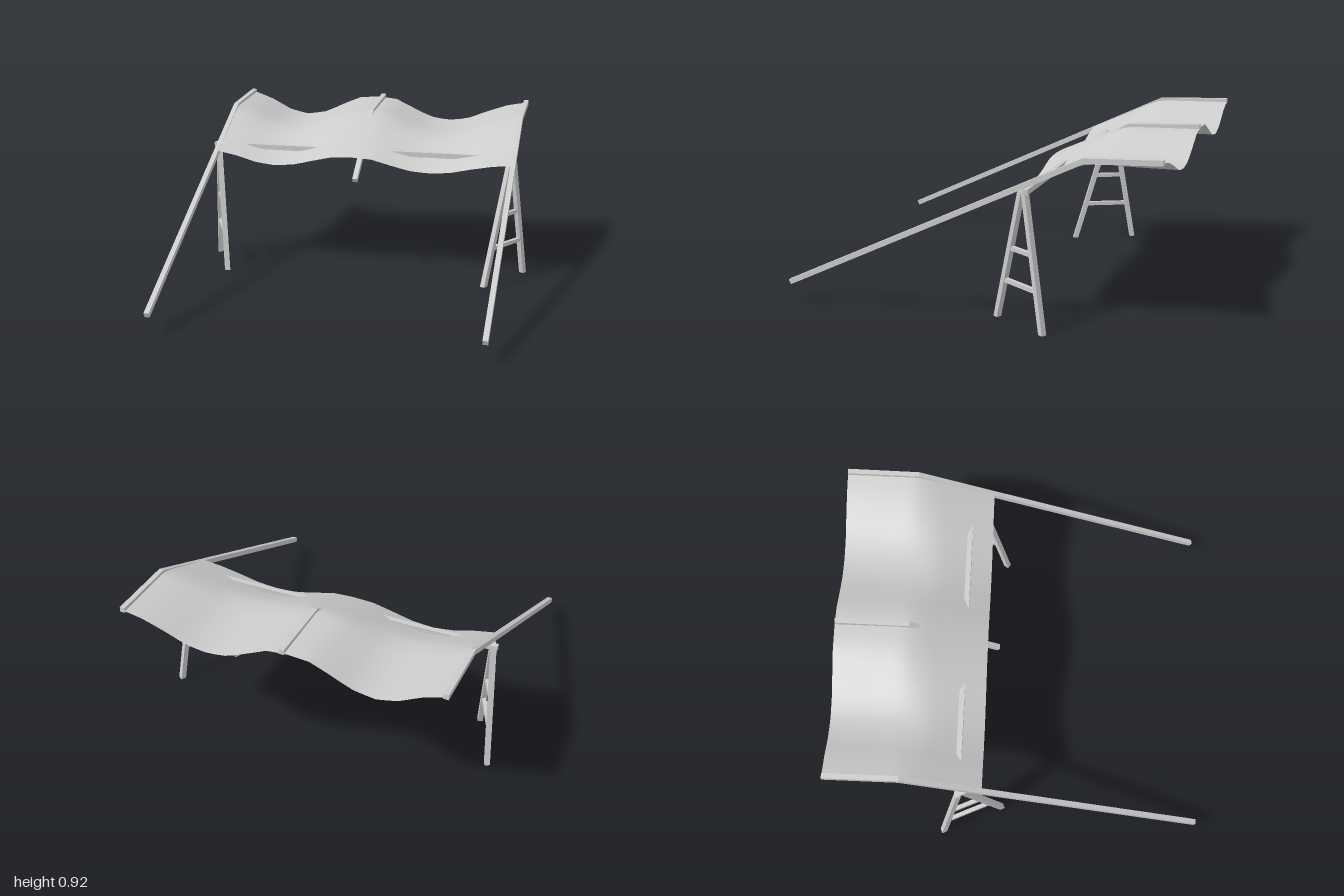
import * as THREE from 'three';

const grey = new THREE.MeshStandardMaterial({ color: 0xcccccc });
const clothGrey = new THREE.MeshStandardMaterial({ color: 0xcccccc, side: THREE.DoubleSide });

function add(parent, geometry, name, material = grey) {
  const mesh = new THREE.Mesh(geometry, material);
  mesh.name = name;
  parent.add(mesh);
  return mesh;
}

// Linear interpolation through [position, value] pairs
function lookup(table, p) {
  let i = 1;
  while (i < table.length - 1 && p > table[i][0]) i++;
  const [p0, v0] = table[i - 1], [p1, v1] = table[i];
  return THREE.MathUtils.lerp(v0, v1, (p - p0) / (p1 - p0));
}

// Square pole following a mitred path of [z, y] points
function poleGeometry(path, x, width) {
  const pts = path.map(([z, y]) => new THREE.Vector2(z, y));
  const offsets = pts.map((p, i) => {
    const normal = (a, b) => {
      const d = b.clone().sub(a).normalize();
      return new THREE.Vector2(-d.y, d.x);
    };
    const before = i > 0 ? normal(pts[i - 1], p) : normal(p, pts[i + 1]);
    const after = i < pts.length - 1 ? normal(p, pts[i + 1]) : before;
    const n = before.clone().add(after).normalize();
    return n.multiplyScalar(width / 2 / n.dot(before));
  });
  const upper = pts.map((p, i) => p.clone().add(offsets[i]));
  const lower = pts.map((p, i) => p.clone().sub(offsets[i]));
  const shape = new THREE.Shape([...upper, ...lower.reverse()]);
  const g = new THREE.ExtrudeGeometry(shape, { depth: width, bevelEnabled: false });
  g.translate(0, 0, -width / 2).rotateY(-Math.PI / 2).translate(x, 0, 0);
  return g;
}

// Leg with level ends: an upright box sheared from foot to top
function legGeometry(foot, top, width, yaw) {
  const h = top.y - foot.y;
  const g = new THREE.BoxGeometry(width, h, width).rotateY(yaw);
  const p = g.attributes.position;
  for (let i = 0; i < p.count; i++) {
    const t = p.getY(i) / h + 0.5;
    const c = foot.clone().lerp(top, t);
    p.setXYZ(i, p.getX(i) + c.x, c.y, p.getZ(i) + c.z);
  }
  g.computeVertexNormals();
  return g;
}

// A-shaped trestle with two rungs
function makeTrestle(name, backFoot, frontFoot, apex) {
  const trestle = new THREE.Group();
  trestle.name = name;
  const yaw = Math.atan2(frontFoot.x - backFoot.x, frontFoot.z - backFoot.z);
  const spread = frontFoot.clone().sub(backFoot).setLength(0.012);
  add(trestle, legGeometry(backFoot, apex.clone().sub(spread), 0.029, yaw), 'backLeg');
  add(trestle, legGeometry(frontFoot, apex.clone().add(spread), 0.029, yaw), 'frontLeg');
  for (const y of [0.215, 0.395]) {
    const a = backFoot.clone().lerp(apex, y / apex.y);
    const b = frontFoot.clone().lerp(apex, y / apex.y);
    const rung = add(trestle, new THREE.BoxGeometry(0.022, 0.022, a.distanceTo(b) + 0.03), 'rung');
    rung.position.copy(a).add(b).multiplyScalar(0.5);
    rung.rotation.y = yaw;
  }
  return trestle;
}

// Cloth sheet sagging in two bays between the three poles
function makeCloth() {
  const x0 = -0.86, x1 = 0.87, z0 = -0.19, z1 = -1;
  const sag = [[-0.86, 0], [-0.75, 0.3], [-0.62, 0.82], [-0.51, 1], [-0.39, 0.84], [-0.27, 0.4],
    [-0.17, 0.07], [-0.05, 0], [0.06, 0.08], [0.16, 0.45], [0.28, 0.87], [0.39, 1],
    [0.51, 0.88], [0.63, 0.5], [0.76, 0.15], [0.87, 0]];
  // Height along the poles and depth of sag, by distance from the front edge
  const ridge = [[0, 0.7], [0.11, 0.75], [0.24, 0.81], [0.33, 0.855], [0.42, 0.888], [0.81, 0.9]];
  const depth = [[0, 0.07], [0.11, 0.07], [0.21, 0.07], [0.29, 0.075], [0.42, 0.115], [0.6, 0.125], [0.81, 0.13]];
  const g = new THREE.PlaneGeometry(x1 - x0, z0 - z1, 30, 18).rotateX(-Math.PI / 2);
  g.translate((x0 + x1) / 2, 0, (z0 + z1) / 2);
  const p = g.attributes.position;
  for (let i = 0; i < p.count; i++) {
    const d = z0 - p.getZ(i);
    p.setY(i, lookup(ridge, d) - lookup(depth, d) * lookup(sag, p.getX(i)));
  }
  g.computeVertexNormals();
  return g;
}

export function createModel() {
  const model = new THREE.Group();
  model.name = 'awning';

  add(model, makeCloth(), 'cloth', clothGrey);

  // Long side poles and the short middle pole, each bent near the back
  const sidePath = [[0.994, 0.113], [-0.61, 0.885], [-1, 0.902]];
  add(model, poleGeometry(sidePath, -0.865, 0.028), 'rightPole');
  add(model, poleGeometry(sidePath, 0.87, 0.028), 'leftPole');
  add(model, poleGeometry([[-0.135, 0.58], [-0.61, 0.885], [-1, 0.906]], -0.02, 0.028), 'middlePole');

  // Beam resting across the trestles
  const beam = add(model, new THREE.BoxGeometry(1.79, 0.028, 0.028), 'crossBeam');
  beam.position.set(-0.015, 0.708, -0.317);

  const v = (x, y, z) => new THREE.Vector3(x, y, z);
  model.add(makeTrestle('rightTrestle', v(-0.932, 0, -0.425), v(-0.785, 0, -0.1), v(-0.88, 0.71, -0.3)));
  model.add(makeTrestle('leftTrestle', v(0.93, 0, -0.425), v(0.735, 0, -0.12), v(0.855, 0.71, -0.3)));
  return model;
}
